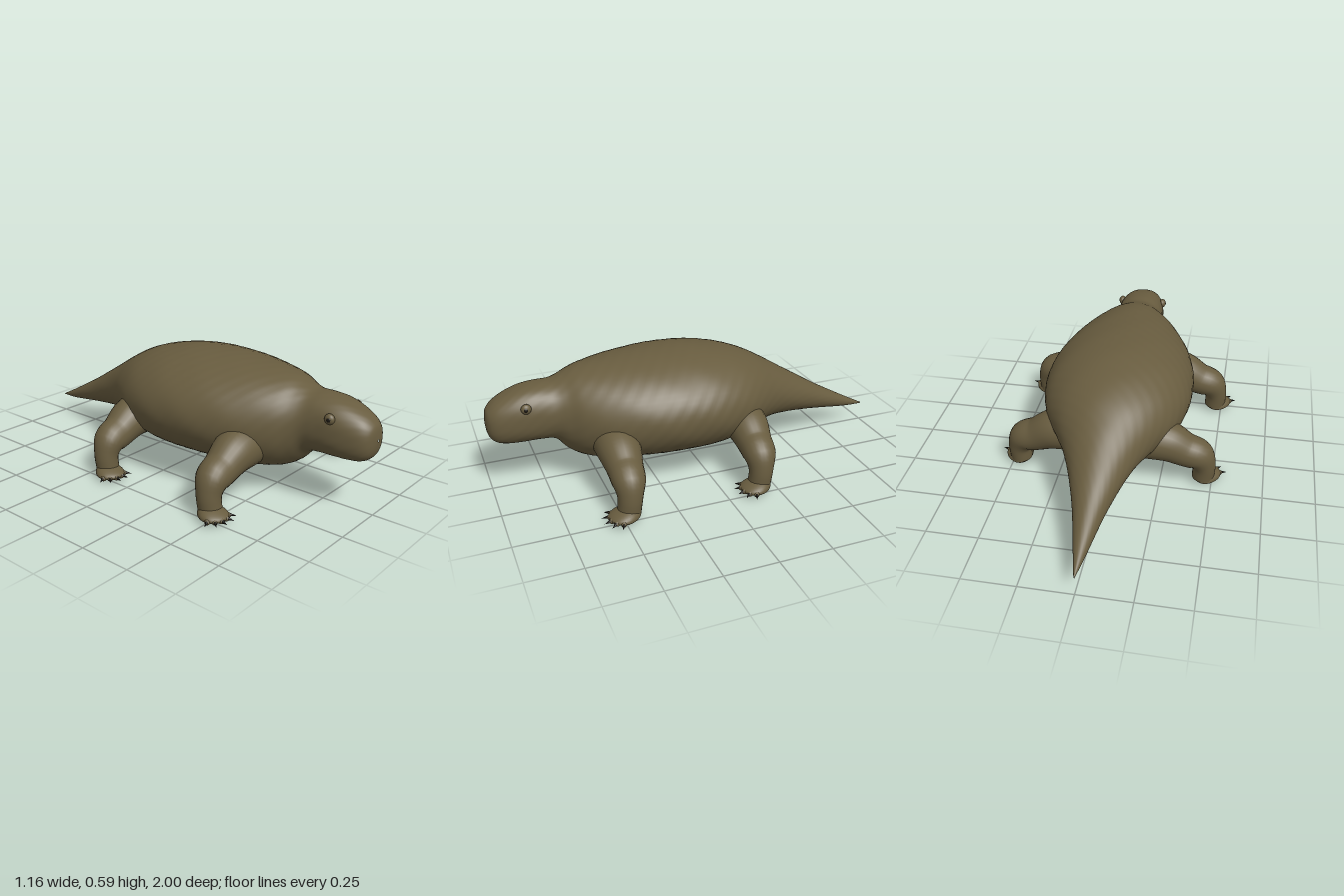
import * as THREE from 'three';

const skin = new THREE.MeshStandardMaterial({ color: 0x685c3f });
skin.name = 'olive skin';
const dark = new THREE.MeshStandardMaterial({ color: 0x1c1812 });
dark.name = 'dark claw';

// Skin a list of closed rings (counter-clockwise about the direction of travel)
function loft(rings) {
  const n = rings[0].length, pos = [], idx = [];
  rings.forEach(r => r.forEach(p => pos.push(p.x, p.y, p.z)));
  for (let i = 0; i < rings.length - 1; i++) {
    for (let j = 0; j < n; j++) {
      const k = (j + 1) % n;
      const a = i * n + j, b = i * n + k, c = a + n, d = b + n;
      idx.push(a, b, c, b, d, c);
    }
  }
  const g = new THREE.BufferGeometry();
  g.setAttribute('position', new THREE.Float32BufferAttribute(pos, 3));
  g.setIndex(idx);
  g.computeVertexNormals();
  return g;
}

function add(parent, geometry, material, name, x = 0, y = 0, z = 0) {
  const m = new THREE.Mesh(geometry, material);
  m.name = name;
  m.position.set(x, y, z);
  parent.add(m);
  return m;
}

// Body, tail and head as one run of sections: z, top, bottom, half width
const sections = [
  [-1, .1, .095, .002], [-.9, .152, .1, .026], [-.8, .207, .113, .049],
  [-.7, .263, .127, .073], [-.6, .325, .14, .104], [-.5, .387, .15, .14],
  [-.4, .45, .155, .186], [-.3, .507, .145, .245], [-.2, .546, .115, .303],
  [-.1, .57, .1, .34], [0, .585, .095, .36], [.1, .59, .094, .365],
  [.2, .589, .096, .36], [.3, .584, .098, .342], [.4, .576, .1, .312],
  [.5, .565, .11, .266], [.58, .55, .132, .215], [.64, .528, .17, .165],
  [.69, .512, .225, .136], [.75, .51, .238, .127], [.82, .502, .24, .122],
  [.88, .485, .24, .112], [.94, .457, .246, .094], [.975, .43, .265, .073],
  [.993, .403, .296, .045], [1, .355, .345, .004],
];

function bodyGeometry() {
  const sides = 64, steps = 150, rings = [];
  const plan = new THREE.SplineCurve(sections.map(s => new THREE.Vector2(s[0], s[3])));
  const side = new THREE.SplineCurve(sections.map(s => new THREE.Vector2(s[1], s[2])));
  for (let i = 0; i <= steps; i++) {
    const { x: z, y: hw } = plan.getPoint(i / steps);
    const { x: top, y: bottom } = side.getPoint(i / steps);
    const cy = (top + bottom) / 2, hh = (top - bottom) / 2;
    // The head is boxier than the trunk
    const e = THREE.MathUtils.lerp(1, .84, THREE.MathUtils.smoothstep(z, .6, .8));
    const ring = [];
    for (let j = 0; j < sides; j++) {
      const a = j / sides * Math.PI * 2, c = Math.cos(a), s = Math.sin(a);
      // Faint hide bumps on the trunk
      const rough = 1 + .004 * Math.sin(a * 13 + z * 31) * Math.sin(z * 57 + a * 5);
      ring.push(new THREE.Vector3(
        Math.sign(c) * Math.abs(c) ** e * Math.max(hw, .001) * rough,
        cy + Math.sign(s) * Math.abs(s) ** e * hh * rough, z));
    }
    rings.push(ring);
  }
  return loft(rings);
}

// Bent limb: points are x, y, z, radius
function limbGeometry(points, side, dx, dz) {
  const steps = 28, sides = 24, rings = [];
  const path = new THREE.CatmullRomCurve3(points.map(p =>
    new THREE.Vector3(side * (p[0] + dx), p[1], p[2] + dz)));
  const radius = new THREE.SplineCurve(points.map((p, i) => new THREE.Vector2(i, p[3])));
  const { normals, binormals } = path.computeFrenetFrames(steps, false);
  for (let i = 0; i <= steps; i++) {
    // Frames are spaced by arc length, so look the radius up the same way
    const u = path.getUtoTmapping(i / steps);
    const c = path.getPoint(u), r = radius.getPoint(u).y;
    rings.push(Array.from({ length: sides }, (_, j) => {
      const a = j / sides * Math.PI * 2;
      return c.clone().addScaledVector(normals[i], Math.cos(a) * r)
        .addScaledVector(binormals[i], Math.sin(a) * r);
    }));
  }
  return loft(rings);
}

const limbPoints = [
  [.17, .25, .45, .105], [.28, .237, .452, .1], [.37, .195, .455, .083],
  [.437, .167, .46, .076], [.466, .11, .465, .058], [.466, .035, .472, .054],
];

// Flat foot, bulging towards the ankle and level underneath
function footGeometry() {
  const g = new THREE.SphereGeometry(1, 28, 18);
  const p = g.attributes.position;
  for (let i = 0; i < p.count; i++) {
    const x = p.getX(i), y = p.getY(i), z = p.getZ(i);
    const height = y > 0 ? .037 - .014 * z : .025;
    p.setXYZ(i, x * (.066 + .01 * z), .026 + y * height, z * .075);
  }
  g.computeVertexNormals();
  return g;
}

function leg(name, side, dx, dz) {
  const g = new THREE.Group();
  g.name = name;
  add(g, limbGeometry(limbPoints, side, dx, dz), skin, 'limb');
  const foot = new THREE.Group();
  foot.name = 'foot';
  foot.position.set(side * (.48 + dx), 0, .495 + dz);
  g.add(foot);
  const sole = add(foot, footGeometry(), skin, 'sole');
  sole.rotation.y = side * .25;
  // Five toes, each ending in a claw
  for (let i = 0; i < 5; i++) {
    const a = side * THREE.MathUtils.degToRad(-40 + i * 27);
    const dir = new THREE.Vector3(Math.sin(a), 0, Math.cos(a));
    const toe = add(foot, new THREE.SphereGeometry(1, 12, 8), skin, 'toe',
      dir.x * .062, .022, dir.z * .062);
    toe.scale.set(.014, .014, .02);
    toe.rotation.y = a;
    const claw = add(foot, new THREE.ConeGeometry(.009, .036, 8), dark, 'claw',
      dir.x * .088, .022, dir.z * .088);
    claw.quaternion.setFromUnitVectors(new THREE.Vector3(0, 1, 0),
      new THREE.Vector3(dir.x, -.15, dir.z).normalize());
  }
  return g;
}

export function createModel() {
  const model = new THREE.Group();
  model.name = 'reptile';
  add(model, bodyGeometry(), skin, 'body');

  for (const side of [1, -1]) {
    const label = side > 0 ? 'left' : 'right';
    model.add(leg(label + 'FrontLeg', side, 0, 0));
    model.add(leg(label + 'HindLeg', side, -.008, -.64));

    // Eye with lid and pupil
    const lid = add(model, new THREE.SphereGeometry(1, 20, 14), skin, label + 'Eyelid',
      side * .114, .437, .826);
    lid.scale.set(.018, .024, .024);
    const pupil = add(model, new THREE.SphereGeometry(1, 16, 12), dark, label + 'Pupil',
      side * .124, .437, .828);
    pupil.scale.set(.0095, .013, .013);

    // Small teeth along the front of the jaw
    for (const [x, z] of [[.03, .977], [.058, .962]]) {
      const tooth = add(model, new THREE.ConeGeometry(.007, .026, 6), skin, 'tooth',
        side * x, .288, z);
      tooth.rotation.x = Math.PI;
    }
  }
  return model;
}
